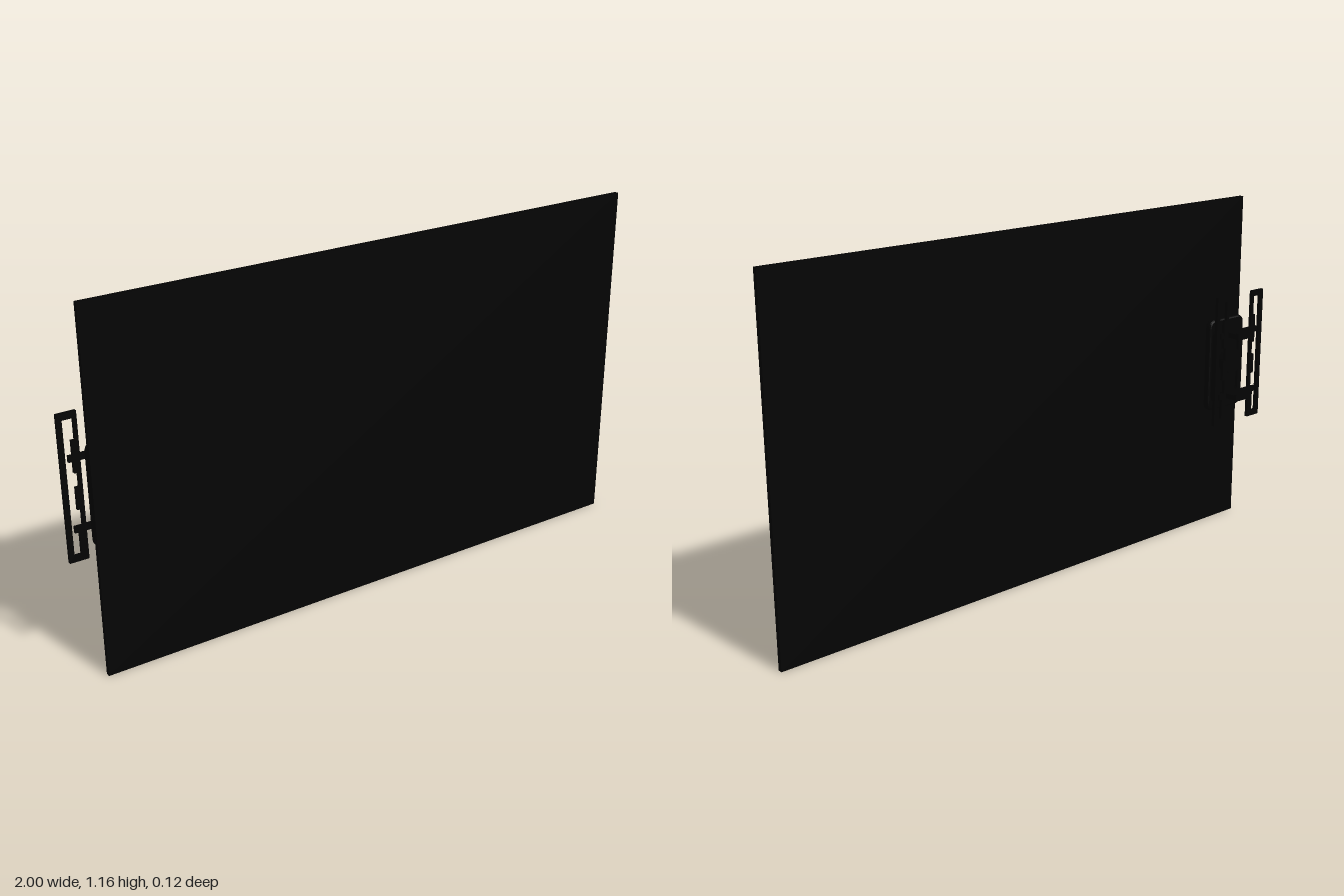
import * as THREE from 'three';

const black = new THREE.MeshStandardMaterial({ color: 0x030303 });
black.name = 'black';

// Rounded rectangle outline centred on the origin
function roundedRect(Type, w, h, r) {
  const s = new Type(), x = w / 2, y = h / 2;
  s.moveTo(-x + r, -y);
  s.lineTo(x - r, -y).quadraticCurveTo(x, -y, x, -y + r);
  s.lineTo(x, y - r).quadraticCurveTo(x, y, x - r, y);
  s.lineTo(-x + r, y).quadraticCurveTo(-x, y, -x, y - r);
  s.lineTo(-x, -y + r).quadraticCurveTo(-x, -y, -x + r, -y);
  return s;
}

export function createModel() {
  const model = new THREE.Group();
  model.name = 'wallScreen';

  const add = (parent, name, geometry, x, y, z) => {
    const mesh = new THREE.Mesh(geometry, black);
    mesh.name = name;
    mesh.position.set(x, y, z);
    parent.add(mesh);
    return mesh;
  };
  const box = (parent, name, w, h, d, x, y, z) =>
    add(parent, name, new THREE.BoxGeometry(w, h, d), x, y, z);
  const extrude = (shape, depth, bevel = 0) => new THREE.ExtrudeGeometry(shape, {
    depth, bevelEnabled: bevel > 0, bevelSize: bevel, bevelThickness: bevel,
    bevelOffset: -bevel, bevelSegments: 2, curveSegments: 6,
  });

  // Thin flat panel
  box(model, 'panel', 1.935, 1.165, 0.015, 0.03, 0.5825, 0.051);

  const mount = new THREE.Group();
  mount.name = 'mount';
  model.add(mount);

  // Backing block with a raised rim and a central boss
  add(mount, 'backingBlock', extrude(roundedRect(THREE.Shape, 0.175, 0.33, 0.03), 0.012, 0.006),
    -0.85, 0.583, 0.026);
  const rim = roundedRect(THREE.Shape, 0.15, 0.27, 0.03);
  rim.holes.push(roundedRect(THREE.Path, 0.11, 0.22, 0.02));
  add(mount, 'blockRim', extrude(rim, 0.012), -0.85, 0.583, 0.01);
  const boss = add(mount, 'boss', new THREE.CylinderGeometry(0.045, 0.045, 0.03, 24), -0.855, 0.595, 0.007);
  boss.rotation.x = Math.PI / 2;

  // Slotted upright strips, mirrored about the bracket centre
  for (const side of [-1, 1]) {
    const strip = new THREE.Shape();
    strip.moveTo(-0.03, -0.232).lineTo(0.03, -0.232).lineTo(0.03, 0.232).lineTo(-0.03, 0.232);
    const slot = new THREE.Path();
    slot.moveTo(-0.014, -0.212).lineTo(-0.014, 0.212).lineTo(0.019, 0.212);
    // narrow necks between the wider openings
    for (const [top, bottom] of [[0.145, 0.045], [0, -0.07], [-0.14, -0.212]]) {
      slot.lineTo(0.019, top).lineTo(0.008, top).lineTo(0.008, bottom);
      if (bottom > -0.2) slot.lineTo(0.019, bottom);
    }
    strip.holes.push(slot);
    const mesh = add(mount, 'strip', extrude(strip, 0.011), -0.88 + side * 0.09, 0.604, side < 0 ? -0.013 : -0.002);
    if (side > 0) mesh.rotation.y = Math.PI;
  }

  // Cross bars and hooks that join the strips to the block
  for (const y of [0.695, 0.473]) {
    box(mount, 'crossBar', 0.19, 0.02, 0.01, -0.88, y, -0.0075);
    box(mount, 'hook', 0.07, 0.018, 0.075, -0.856, y, -0.0215);
    box(mount, 'hookLip', 0.07, 0.024, 0.012, -0.856, y, -0.053);
  }
  return model;
}
